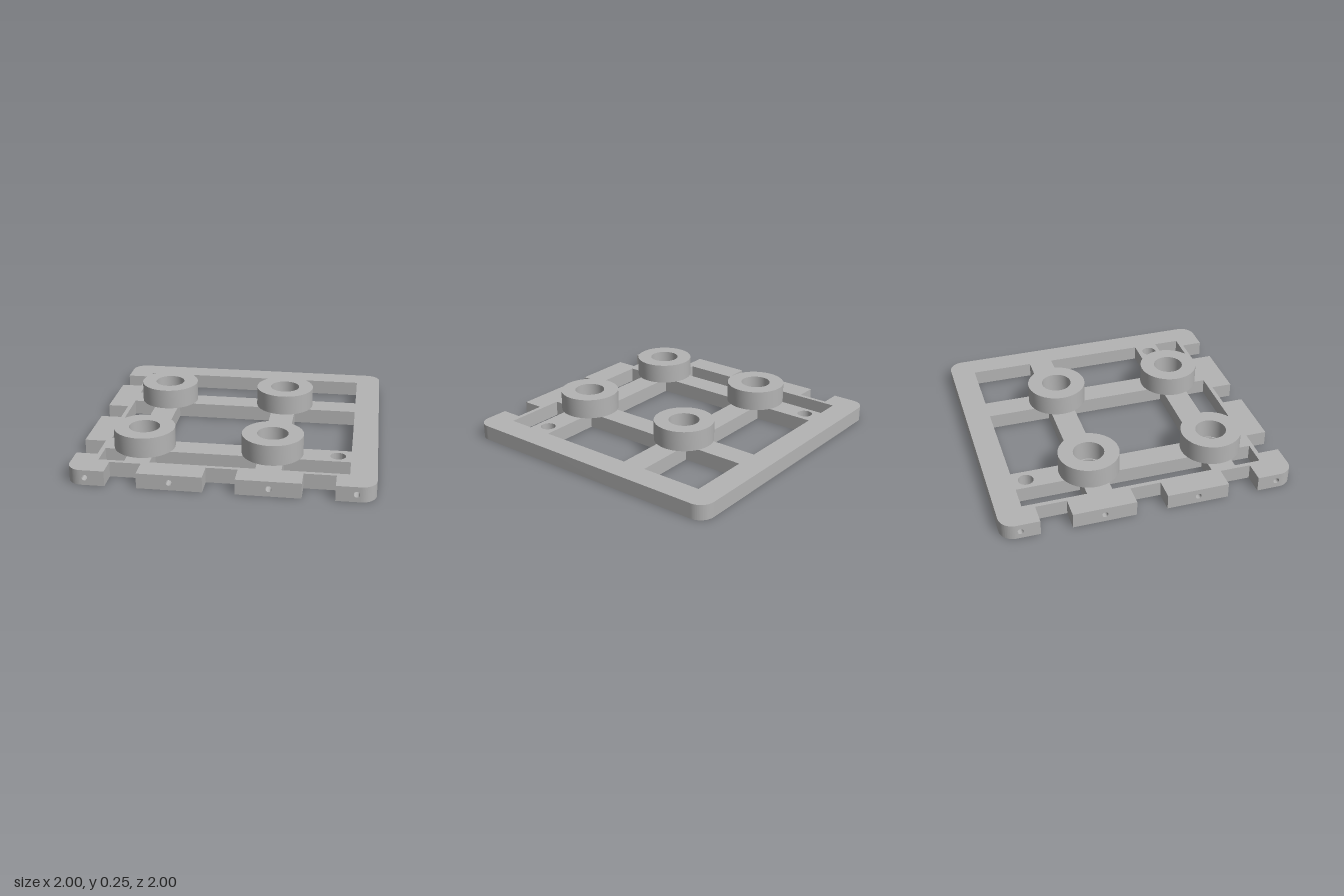
import * as THREE from 'three';
import { toCreasedNormals } from 'three/addons/utils/BufferGeometryUtils.js';

const THICK = 0.105;
const PIN_DEPTH = 0.1;
const PIN_HALF = 0.023;
const PINS = [-0.875, -0.32, 0.32, 0.875];
const NOTCHES = [[-0.745, -0.535], [-0.105, 0.105], [0.53, 0.742]];
const CENTRES_X = [-0.57, 0.3];
const CENTRES_Z = [-0.308, 0.562];

// Cuts along a toothed edge: [start, end, depth], in order
const CUTS = [
  ...NOTCHES.map(([a, b]) => [a, b, 0.145]),
  ...PINS.map((p) => [p - PIN_HALF, p + PIN_HALF, PIN_DEPTH]),
].sort((p, q) => p[0] - q[0]);

function circleHole(x, y, r) {
  return new THREE.Path().absarc(x, y, r, 0, Math.PI * 2, true);
}

function extrude(shape, depth) {
  const geo = new THREE.ExtrudeGeometry(shape, { depth, bevelEnabled: false, curveSegments: 24 });
  return toCreasedNormals(geo, 0.6);
}

// Plate outline; shape y is minus z
function plateShape() {
  const s = new THREE.Shape();
  const q = Math.PI / 2;
  s.moveTo(-0.9, -1);
  for (const [a, b, d] of CUTS) {
    s.lineTo(a, -1);
    s.lineTo(a, -1 + d);
    s.lineTo(b, -1 + d);
    s.lineTo(b, -1);
  }
  s.absarc(0.9, -0.9, 0.1, -q, 0, false);
  s.absarc(0.9, 0.9, 0.1, 0, q, false);
  s.absarc(-0.9, 0.9, 0.1, q, 2 * q, false);
  for (const [a, b, d] of CUTS) {
    s.lineTo(-1, -a);
    s.lineTo(-1 + d, -a);
    s.lineTo(-1 + d, -b);
    s.lineTo(-1, -b);
  }
  s.absarc(-0.9, -0.9, 0.1, 2 * q, 3 * q, false);

  // Nine windows between the crossing bars
  const cols = [[-0.825, -0.652], [-0.483, 0.215], [0.385, 0.825]];
  const rows = [[-0.828, -0.392], [-0.22, 0.476], [0.646, 0.825]];
  for (const [x0, x1] of cols) {
    for (const [z0, z1] of rows) {
      const w = new THREE.Path();
      w.moveTo(x0, -z0);
      w.lineTo(x1, -z0);
      w.lineTo(x1, -z1);
      w.lineTo(x0, -z1);
      w.closePath();
      s.holes.push(w);
    }
  }

  // Bores under the bosses and two small locating holes
  for (const x of CENTRES_X) for (const z of CENTRES_Z) s.holes.push(circleHole(x, -z, 0.095));
  s.holes.push(circleHole(-0.57, 0.742, 0.052), circleHole(0.737, -0.562, 0.052));
  return s;
}

export function createModel() {
  const model = new THREE.Group();
  model.name = 'mountingFrame';
  const grey = new THREE.MeshStandardMaterial({ color: 0xb4b4b4 });
  grey.name = 'plain grey';

  function add(geometry, name, x, y, z) {
    const mesh = new THREE.Mesh(geometry, grey);
    mesh.name = name;
    mesh.position.set(x, y, z);
    model.add(mesh);
    return mesh;
  }

  // Toothed base plate
  add(extrude(plateShape(), THICK).rotateX(-Math.PI / 2), 'basePlate', 0, 0, 0);

  // Blocks with a round pin hole, filling the slots in the teeth
  const h = THICK / 2;
  const block = new THREE.Shape([
    new THREE.Vector2(-PIN_HALF, -h), new THREE.Vector2(PIN_HALF, -h),
    new THREE.Vector2(PIN_HALF, h), new THREE.Vector2(-PIN_HALF, h),
  ]);
  block.holes.push(circleHole(0, 0, 0.02));
  const frontBlock = extrude(block, PIN_DEPTH);
  const sideBlock = frontBlock.clone().rotateY(-Math.PI / 2);
  for (const p of PINS) {
    add(frontBlock, 'frontPinHole', p, h, 1 - PIN_DEPTH);
    add(sideBlock, 'sidePinHole', -1 + PIN_DEPTH, h, p);
  }

  // Round bosses at the bar crossings
  const ring = new THREE.Shape().absarc(0, 0, 0.207, 0, Math.PI * 2, false);
  ring.holes.push(circleHole(0, 0, 0.105));
  const boss = extrude(ring, 0.14).rotateX(-Math.PI / 2);
  for (const x of CENTRES_X) for (const z of CENTRES_Z) add(boss, 'boss', x, THICK, z);

  return model;
}
